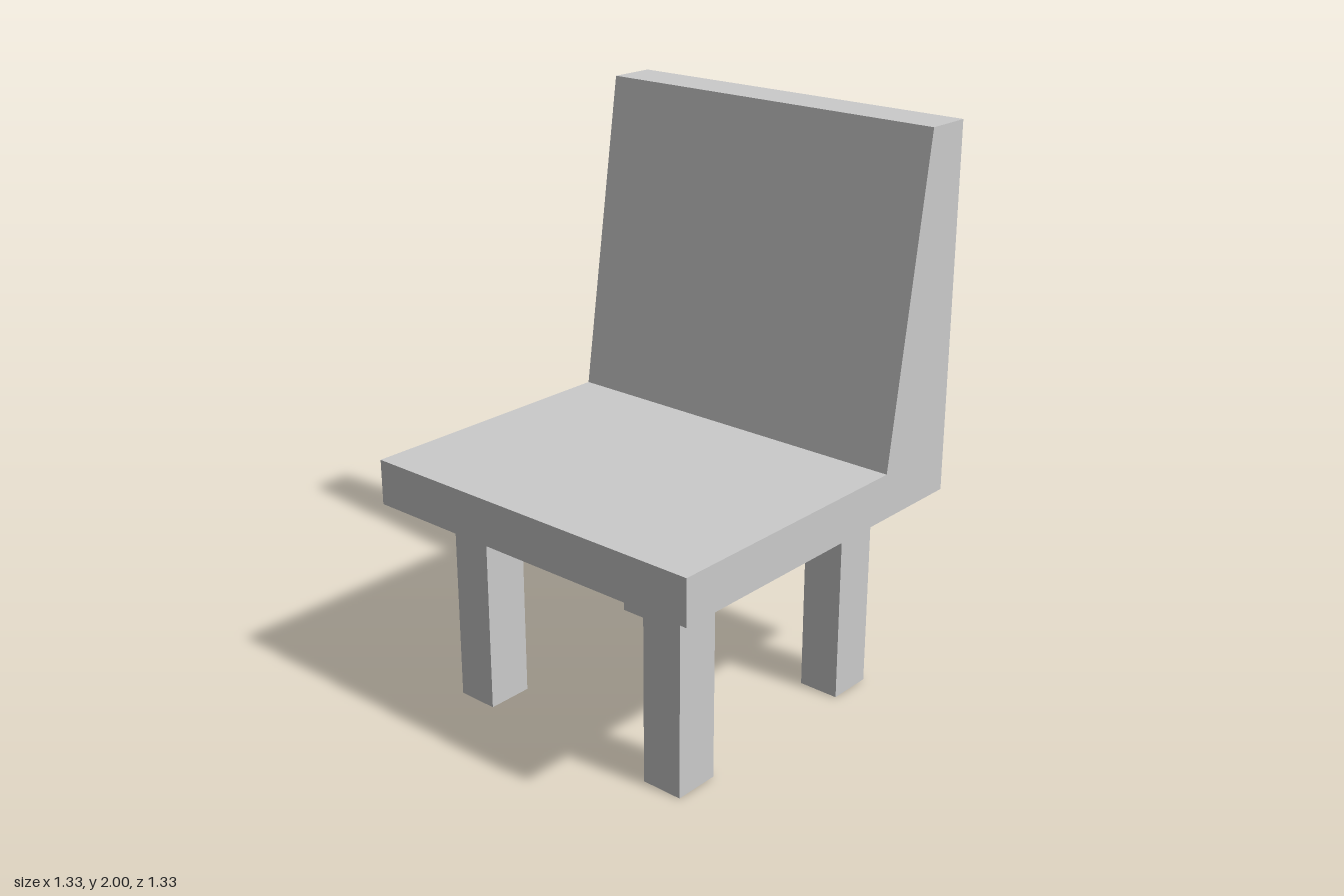
import * as THREE from 'three';

export function createModel() {
  const chair = new THREE.Group();
  chair.name = 'chair';
  const material = new THREE.MeshStandardMaterial({ color: 0xcccccc, flatShading: true });

  // Seat and sloped backrest share one side profile, extruded across the width
  const width = 1.333;
  const seatBottom = 0.73;
  const profile = new THREE.Shape([
    [-0.667, seatBottom], [0.667, seatBottom], [0.667, 2],
    [0.5, 2], [0.333, 0.89], [-0.667, 0.89],
  ].map(([x, y]) => new THREE.Vector2(x, y)));
  const bodyGeometry = new THREE.ExtrudeGeometry(profile, { depth: width, bevelEnabled: false });
  bodyGeometry.translate(0, 0, -width / 2);
  const body = new THREE.Mesh(bodyGeometry, material);
  body.name = 'seatAndBackrest';
  chair.add(body);

  // Four straight legs
  const legGeometry = new THREE.BoxGeometry(0.167, seatBottom, 0.15);
  for (const [xName, x] of [['front', -0.417], ['rear', 0.417]]) {
    for (const [zName, z] of [['Right', -0.425], ['Left', 0.425]]) {
      const leg = new THREE.Mesh(legGeometry, material);
      leg.name = `${xName}${zName}Leg`;
      leg.position.set(x, seatBottom / 2, z);
      chair.add(leg);
    }
  }

  return chair;
}
